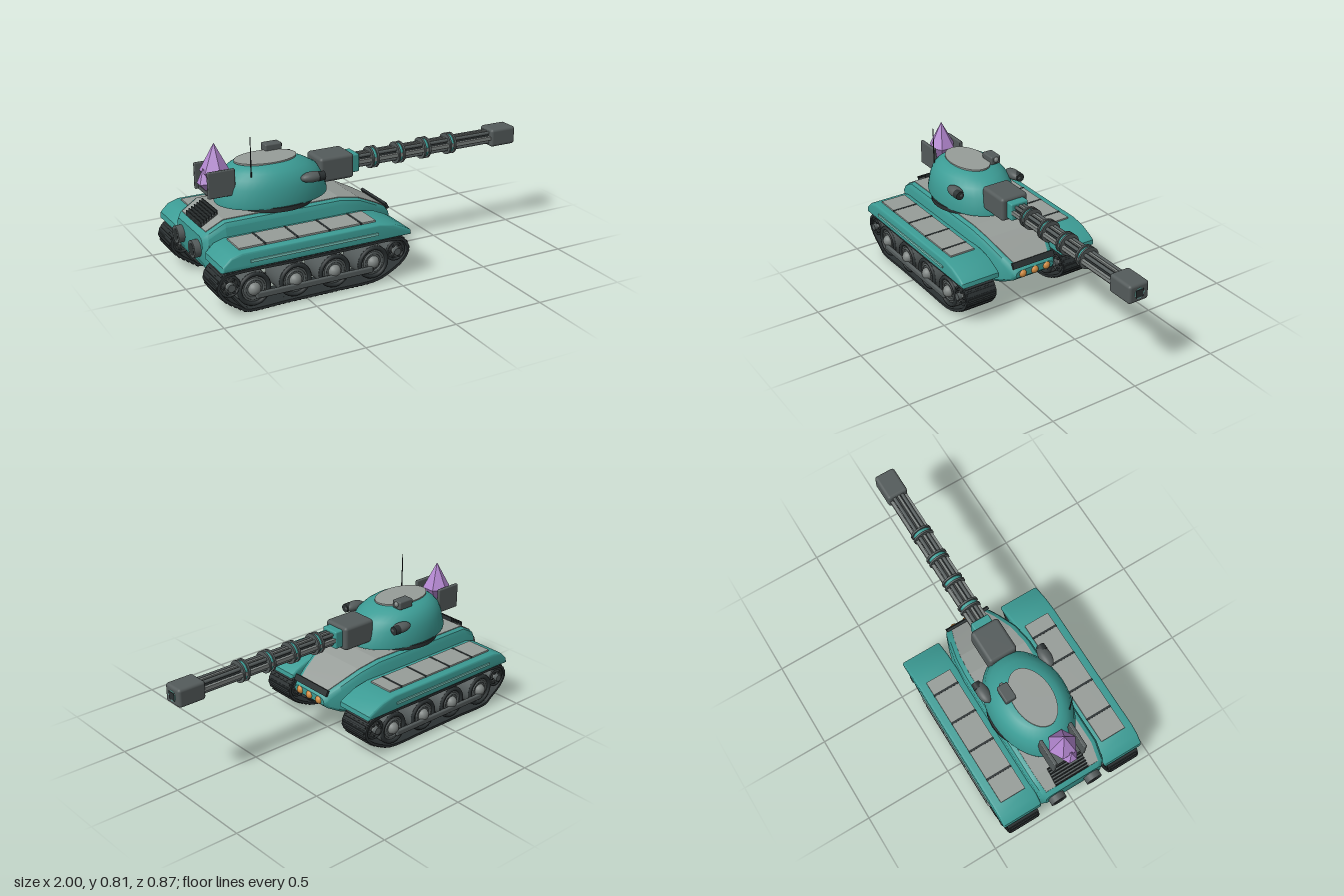
import * as THREE from 'three';
import { mergeGeometries, toCreasedNormals } from 'three/addons/utils/BufferGeometryUtils.js';
import { RoundedBoxGeometry } from 'three/addons/geometries/RoundedBoxGeometry.js';

const mat = (name, color) => Object.assign(new THREE.MeshStandardMaterial({ color }), { name });
const M = {
  teal: mat('teal paint', 0x3c9c95),
  light: mat('pale teal trim', 0x7cc8be),
  grey: mat('grey plate', 0x979d99),
  steel: mat('dark steel', 0x545b5b),
  iron: mat('blackened iron', 0x2b3132),
  hub: mat('hub metal', 0x7d8381),
  orange: mat('amber lamp', 0xd08a40),
  crystal: mat('violet crystal', 0xb286cf),
};

function add(parent, name, geo, material, x = 0, y = 0, z = 0) {
  const m = new THREE.Mesh(geo, material);
  m.name = name;
  m.position.set(x, y, z);
  parent.add(m);
  return m;
}
const box = (w, h, d) => new THREE.BoxGeometry(w, h, d);
const rbox = (w, h, d, r) => new RoundedBoxGeometry(w, h, d, 3, r);
const cylX = (r1, r2, l, n = 24) => new THREE.CylinderGeometry(r1, r2, l, n).rotateZ(-Math.PI / 2);
const cylZ = (r1, r2, l, n = 28) => new THREE.CylinderGeometry(r1, r2, l, n).rotateX(Math.PI / 2);

// Skin through closed rings of [x, y, z], capped at both ends
function loft(rings, crease = 0.6) {
  const pos = [], n = rings[0].length;
  const mid = (r) => [0, 1, 2].map((k) => r.reduce((s, p) => s + p[k], 0) / n);
  const c0 = mid(rings[0]), c1 = mid(rings[rings.length - 1]);
  for (let i = 0; i < n; i++) {
    const j = (i + 1) % n;
    for (let k = 0; k < rings.length - 1; k++) {
      const a = rings[k], b = rings[k + 1];
      pos.push(...a[i], ...a[j], ...b[j], ...a[i], ...b[j], ...b[i]);
    }
    pos.push(...c0, ...rings[0][j], ...rings[0][i]);
    const e = rings[rings.length - 1];
    pos.push(...c1, ...e[i], ...e[j]);
  }
  const g = new THREE.BufferGeometry();
  g.setAttribute('position', new THREE.Float32BufferAttribute(pos, 3));
  return toCreasedNormals(g, crease);
}

function buildHull() {
  const g = new THREE.Group();
  g.name = 'hull';
  // x, bottom, top, half width
  const st = [[-0.965, 0.2, 0.335, 0.17], [-0.94, 0.155, 0.36, 0.195], [-0.85, 0.135, 0.412, 0.208],
    [-0.2, 0.135, 0.412, 0.208], [-0.08, 0.137, 0.385, 0.195], [0.04, 0.17, 0.325, 0.163],
    [0.11, 0.205, 0.285, 0.138], [0.13, 0.225, 0.265, 0.125]];
  const mirror = (x, half) => [...half.map(([y, z]) => [x, y, z]), ...half.slice().reverse().map(([y, z]) => [x, y, -z])];
  add(g, 'hullBody', loft(st.map(([x, b, t, w]) =>
    mirror(x, [[t, w - 0.033], [t - 0.008, w - 0.012], [t - 0.03, w], [b + 0.015, w], [b, w - 0.012]]))), M.teal);
  add(g, 'deckPlate', loft(st.slice(1, 7).map(([x, , t, w]) =>
    mirror(x, [[t + 0.004, w - 0.035], [t - 0.004, w - 0.035]])), 0.2), M.grey);
  // Rear engine grille
  const slope = Math.atan2(0.052, 0.09);
  add(g, 'grilleBase', box(0.1, 0.012, 0.2), M.steel, -0.895, 0.391, 0).rotation.z = slope;
  for (let i = 0; i < 7; i++)
    add(g, 'grilleSlat', box(0.005, 0.03, 0.2), M.iron, -0.938 + i * 0.0145, 0.374 + i * 0.0083, 0);
  // Exhausts
  for (const z of [-0.11, 0.11]) {
    add(g, 'exhaust', cylX(0.046, 0.046, 0.05), M.steel, -0.975, 0.262, z);
    add(g, 'exhaustMouth', cylX(0.032, 0.032, 0.004), M.iron, -0.999, 0.262, z);
  }
  // Nose bar and lamps
  add(g, 'noseBar', box(0.014, 0.034, 0.265), M.iron, 0.113, 0.294, 0).rotation.z = 0.5;
  for (const z of [-0.077, 0, 0.077]) add(g, 'lamp', new THREE.SphereGeometry(0.024, 20, 14), M.orange, 0.122, 0.242, z);
  return g;
}

function buildTrackLoop() {
  const pts = [[-0.84, 0.015], [-0.6, 0.013], [-0.35, 0.013], [-0.12, 0.015], [-0.05, 0.035], [0.055, 0.1], [0.082, 0.155],
    [0.055, 0.208], [0, 0.222], [-0.3, 0.222], [-0.6, 0.222], [-0.9, 0.222], [-0.955, 0.208], [-0.982, 0.155],
    [-0.955, 0.1], [-0.87, 0.035]].map(([x, y]) => new THREE.Vector3(x, y, 0));
  const curve = new THREE.CatmullRomCurve3(pts, true, 'centripetal');
  const N = 78, pads = [], bars = [], len = curve.getLength() / N;
  for (let i = 0; i < N; i++) {
    const p = curve.getPointAt(i / N), t = curve.getTangentAt(i / N), a = Math.atan2(t.y, t.x);
    pads.push(box(len * 1.1, 0.014, 0.188).rotateZ(a).translate(p.x, p.y, 0));
    bars.push(box(len * 0.45, 0.012, 0.172).translate(0, -0.007, 0).rotateZ(a).translate(p.x, p.y, 0));
  }
  return [mergeGeometries(pads), mergeGeometries(bars)];
}

function buildTrack(side, [pads, bars]) {
  const g = new THREE.Group();
  g.name = side > 0 ? 'leftTrack' : 'rightTrack';
  g.position.z = side * 0.315;
  add(g, 'trackBelt', pads, M.iron);
  add(g, 'trackGrousers', bars, M.iron);
  const wheel = (name, x, y, r) => {
    add(g, name, cylZ(r, r, 0.16), M.steel, x, y, 0);
    for (const s of [-1, 1]) {
      add(g, name + 'Tyre', new THREE.TorusGeometry(r * 0.86, r * 0.13, 8, 28), M.iron, x, y, s * 0.08);
      add(g, name + 'Rim', new THREE.TorusGeometry(r * 0.56, r * 0.07, 8, 24), M.steel, x, y, s * 0.08);
      add(g, name + 'Hub', new THREE.SphereGeometry(r * 0.38, 18, 12), M.hub, x, y, s * 0.077);
    }
  };
  for (const x of [-0.79, -0.565, -0.345, -0.12]) wheel('roadWheel', x, 0.115, 0.091);
  for (const x of [-0.92, 0.012]) {
    wheel('sprocket', x, 0.155, 0.058);
    for (const s of [-1, 1]) {
      add(g, 'sprocketCap', cylZ(0.02, 0.02, 0.025, 16), M.steel, x, 0.155, s * 0.095);
      for (let k = 0; k < 6; k++) {
        const a = k * Math.PI / 3;
        add(g, 'sprocketBolt', cylZ(0.007, 0.007, 0.014, 8), M.iron, x + 0.035 * Math.cos(a), 0.155 + 0.035 * Math.sin(a), s * 0.086);
      }
    }
  }
  for (const s of [-1, 1]) add(g, 'wheelBar', rbox(0.66, 0.034, 0.02, 0.008), M.steel, -0.46, 0.085, s * 0.097);
  return g;
}

function buildFender(side) {
  const g = new THREE.Group();
  g.name = side > 0 ? 'leftFender' : 'rightFender';
  const prof = [[-0.958, 0.252], [-0.955, 0.268], [-0.915, 0.306], [-0.86, 0.322], [-0.1, 0.322], [-0.02, 0.308],
    [0.045, 0.28], [0.076, 0.262], [0.078, 0.252]];
  const geo = new THREE.ExtrudeGeometry(new THREE.Shape(prof.map((p) => new THREE.Vector2(...p))),
    { depth: 0.212, bevelSize: 0.01, bevelThickness: 0.01, bevelSegments: 3 }).translate(0, 0, -0.106);
  add(g, 'fenderBody', toCreasedNormals(geo, 0.6), M.teal, 0, 0, side * 0.315);
  // Top panels with dividers
  add(g, 'fenderPanel', box(0.76, 0.01, 0.148), M.grey, -0.48, 0.336, side * 0.312);
  for (const x of [-0.72, -0.545, -0.365, -0.185])
    add(g, 'panelDivider', box(0.012, 0.013, 0.15), M.iron, x, 0.336, side * 0.312);
  add(g, 'fenderStripe', box(0.71, 0.013, 0.008), M.light, -0.465, 0.283, side * 0.433);
  return g;
}

function buildTurret() {
  const g = new THREE.Group();
  g.name = 'turret';
  // y, rear x, front x, half width
  const lv = [[0.432, -0.815, -0.2, 0.213], [0.445, -0.818, -0.2, 0.215], [0.53, -0.793, -0.225, 0.205], [0.575, -0.772, -0.258, 0.189],
    [0.605, -0.742, -0.31, 0.166], [0.625, -0.708, -0.36, 0.138], [0.635, -0.67, -0.4, 0.105], [0.639, -0.6, -0.47, 0.04]];
  const S = 40;
  add(g, 'turretShell', loft(lv.map(([y, x0, x1, rz]) => Array.from({ length: S }, (_, i) => {
    const a = i / S * Math.PI * 2;
    return [(x0 + x1) / 2 + (x1 - x0) / 2 * Math.sin(a), y, rz * Math.cos(a)];
  })), 0.9), M.teal);
  add(g, 'turretRing', new THREE.CylinderGeometry(0.224, 0.224, 0.024, 40), M.iron, -0.51, 0.425, 0);
  add(g, 'roofPlate', new THREE.CylinderGeometry(1, 1, 0.009, 40).scale(0.17, 1, 0.106), M.grey, -0.535, 0.637, 0);
  add(g, 'antenna', new THREE.CylinderGeometry(0.002, 0.004, 0.21, 8), M.iron, -0.675, 0.7, 0.136);
  add(g, 'periscope', rbox(0.095, 0.048, 0.062, 0.008), M.steel, -0.45, 0.651, -0.105);
  add(g, 'periscopeLens', new THREE.SphereGeometry(0.016, 16, 12), M.hub, -0.405, 0.655, -0.105);
  // Side pods
  for (const s of [-1, 1]) {
    add(g, 'sidePod', new THREE.SphereGeometry(1, 24, 16).scale(0.065, 0.028, 0.034), M.steel, -0.36, 0.56, s * 0.19);
    add(g, 'podMuzzle', cylX(0.024, 0.026, 0.035), M.iron, -0.315, 0.56, s * 0.198);
  }
  return g;
}

function buildGun() {
  const g = new THREE.Group();
  g.name = 'gun';
  g.position.y = 0.537;
  add(g, 'mantlet', rbox(0.2, 0.135, 0.166, 0.018), M.steel, -0.158, 0, 0);
  add(g, 'collar', rbox(0.06, 0.1, 0.108, 0.008), M.teal, -0.042, 0, 0);
  add(g, 'barrelCore', cylX(0.029, 0.029, 0.9), M.iron, 0.42, 0, 0);
  for (const s of [-1, 1]) {
    add(g, 'sideRail', box(0.88, 0.02, 0.018), M.hub, 0.41, 0, s * 0.043);
    for (const t of [-1, 1]) add(g, 'barrelRail', cylX(0.01, 0.01, 0.88, 12), M.steel, 0.41, t * 0.026, s * 0.024);
    add(g, 'spineRail', box(0.88, 0.01, 0.014), M.hub, 0.41, s * 0.031, 0);
  }
  // Coil rings
  for (const x of [0.09, 0.252, 0.415, 0.58]) {
    for (const d of [-0.015, 0.015]) add(g, 'coilRing', cylX(0.06, 0.06, 0.011, 28), M.steel, x + d, 0, 0);
    add(g, 'coilCore', cylX(0.05, 0.05, 0.022, 28), M.teal, x, 0, 0);
  }
  // Muzzle block
  add(g, 'muzzle', rbox(0.16, 0.102, 0.12, 0.016), M.steel, 0.915, 0, 0);
  add(g, 'muzzleGlow', cylX(0.029, 0.029, 0.006, 16), M.light, 0.994, 0, 0);
  add(g, 'muzzleBore', box(0.006, 0.042, 0.044), M.iron, 0.997, 0, 0);
  return g;
}

function buildCrystals() {
  const g = new THREE.Group();
  g.name = 'crystalRack';
  const gem = (r, up, down) => {
    const geo = new THREE.LatheGeometry([[0, -down], [r, 0], [0, up]].map((p) => new THREE.Vector2(...p)), 6).toNonIndexed();
    geo.computeVertexNormals();
    return geo;
  };
  add(g, 'mainCrystal', gem(0.078, 0.145, 0.12), M.crystal, -0.815, 0.615, 0);
  const small = add(g, 'smallCrystal', gem(0.045, 0.075, 0.06), M.crystal, -0.87, 0.565, 0.01);
  small.rotation.z = 0.15;
  for (const s of [-1, 1]) add(g, 'rackPlate', rbox(0.148, 0.14, 0.02, 0.006), M.steel, -0.818, 0.57, s * 0.088);
  add(g, 'rackShelf', box(0.13, 0.02, 0.17), M.steel, -0.81, 0.51, 0);
  return g;
}

export function createModel() {
  const tank = new THREE.Group();
  tank.name = 'tank';
  const loop = buildTrackLoop();
  tank.add(buildHull(), buildTurret(), buildGun(), buildCrystals());
  for (const side of [-1, 1]) tank.add(buildTrack(side, loop), buildFender(side));
  return tank;
}
